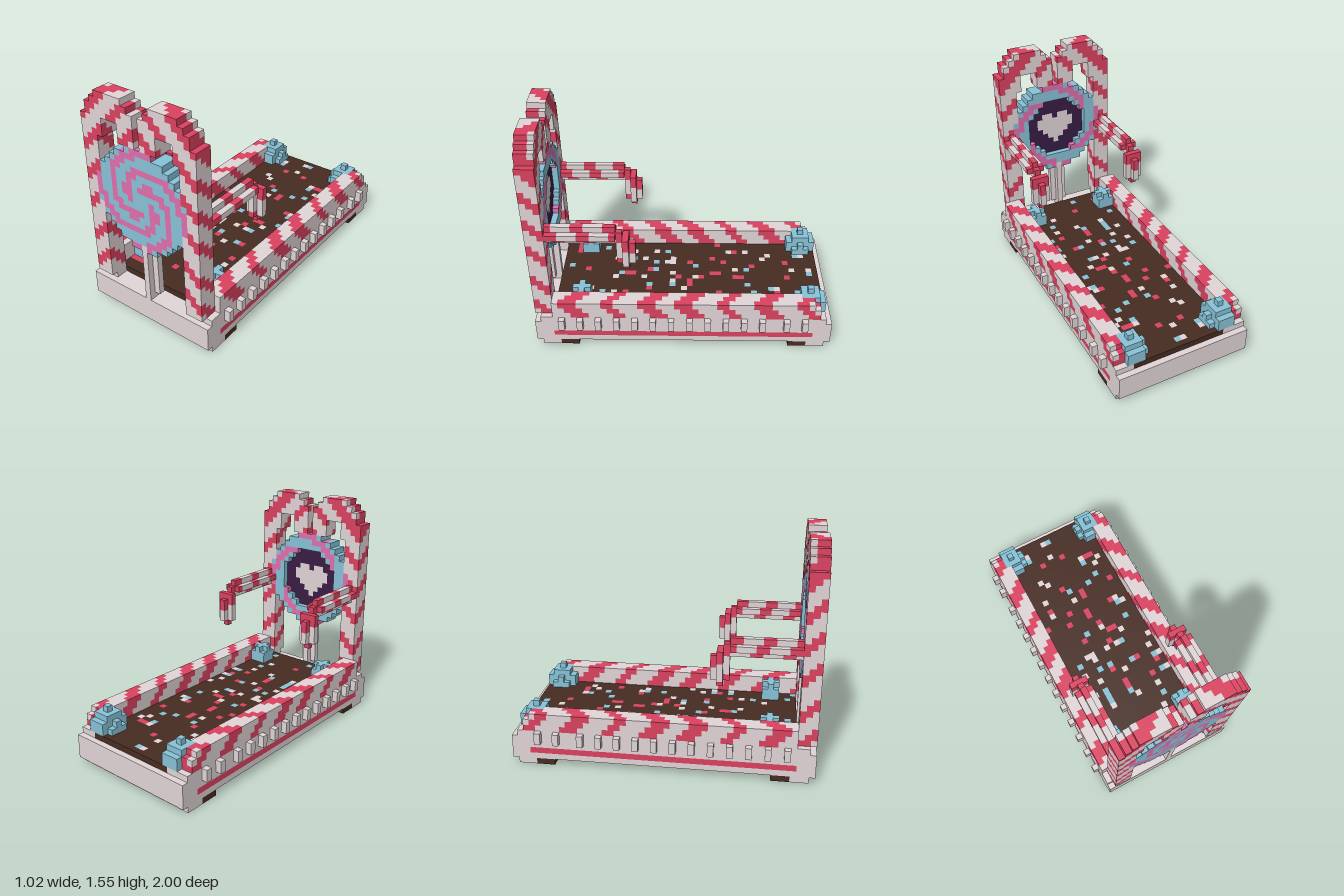
import * as THREE from 'three';

const V = 2 / 49; // edge of one block; x, z count from the centre, y from the ground

// Double-sided, because the base is an open shell underneath
const paint = (name, color) =>
  Object.assign(new THREE.MeshStandardMaterial({ color, side: THREE.DoubleSide }), { name });

export function createModel() {
  const mats = {
    cream: paint('cream', 0xe2d6d8),
    red: paint('candy red', 0xdc4260),
    blue: paint('sugar blue', 0x88c3d8),
    pink: paint('candy pink', 0xe070ae),
    brown: paint('chocolate', 0x472c22),
    purple: paint('dark purple', 0x3a1c46),
  };
  const grid = new Map(); // block position -> part and colour; later parts replace earlier ones
  const key = (x, y, z) => `${x},${y},${z}`;

  // Fill a range of blocks; color is a name or a rule that returns a name (or null to skip)
  function fill(part, [x0, x1], [y0, y1], [z0, z1], color) {
    for (let x = x0; x <= x1; x++)
      for (let y = y0; y <= y1; y++)
        for (let z = z0; z <= z1; z++) {
          const c = typeof color === 'function' ? color(x, y, z) : color;
          if (c) grid.set(key(x, y, z), { part, c, p: [x, y, z] });
        }
  }
  const mod = (a, n) => ((a % n) + n) % n;
  // Diagonal candy stripes, mirrored left to right
  const stripes = (period, width, shift) => (x, y, z) =>
    mod(y + Math.abs(x) - z + shift, period) < width ? 'red' : 'cream';
  const railStripes = stripes(6.4, 2.6, 1.3);
  const postStripes = stripes(5.3, 2.2, 7.5);
  const armStripes = (x, y, z) => (mod(z - y + 21, 5) < 2 ? 'red' : 'cream');

  let seed = 7;
  const random = () => {
    seed = (seed * 16807) % 2147483647;
    return seed / 2147483647;
  };

  // Base with a red line along each side, on two skids
  fill('base', [-11, 11], [1, 4], [-24, 24],
    (x, y, z) => (y === 2 && Math.abs(x) === 11 && Math.abs(z) <= 21 ? 'red' : 'cream'));
  fill('frontSkid', [-11, 11], [0, 0], [21, 23], 'cream');
  fill('backSkid', [-11, 11], [0, 0], [-23, -21], 'cream');

  // Chocolate floor with sprinkles
  fill('floor', [-8, 8], [5, 5], [-23, 21], () => {
    const r = random();
    return r < 0.04 ? 'cream' : r < 0.08 ? 'red' : r < 0.12 ? 'blue' : 'brown';
  });

  const pegs = [-20, -17];
  for (let z = -13; z <= 20; z += 3) pegs.push(z);

  for (const s of [1, -1]) {
    const side = s > 0 ? 'left' : 'right';
    const span = (a, b) => (s > 0 ? [a, b] : [-b, -a]);

    for (const z of [-20, 18]) fill(side + 'Feet', span(9, 11), [0, 0], [z, z + 2], 'brown');
    for (const z of pegs) fill(side + 'Pegs', span(12, 12), [4, 5], [z, z], 'cream');

    // Striped rail on a plain ledge
    fill(side + 'Rail', span(9, 11), [5, 5], [-23, 23], 'cream');
    fill(side + 'Rail', span(8, 8), [5, 5], [22, 23], 'cream');
    fill(side + 'Rail', span(9, 11), [6, 8], [-22, 21],
      (x, y, z) => (y === 8 && z === -22 ? null : railStripes(x, y, z)));

    // Candy cane post with its hooked top: lowest and highest block of each column
    const columns = {
      1: [31, 35], 2: [31, 36], 3: [31, 37], 4: [34, 37], 5: [34, 37],
      6: [34, 37], 7: [31, 37], 8: [6, 36], 9: [6, 35], 10: [6, 33],
    };
    for (const [x, rows] of Object.entries(columns))
      fill(side + 'CanePost', span(+x, +x), rows, [22, 24], postStripes);

    // Arm with a plus-shaped section, bent down at its end
    const arm = side + 'Arm';
    fill(arm, span(9, 9), [20, 22], [11, 21], armStripes);
    fill(arm, span(8, 10), [21, 21], [11, 21], armStripes);
    fill(arm, span(9, 9), [16, 21], [10, 10], armStripes);
    fill(arm, span(8, 10), [16, 20], [9, 9], armStripes);
    fill(arm, span(9, 9), [15, 15], [9, 9], 'red');
    fill(arm, span(9, 9), [16, 19], [8, 8], armStripes);

    // Gumdrops in the corners
    const drop = (name, cx, cz, rx, ry, rz) =>
      fill(name, span(5, 9), [6, 9], [cz - 3, cz + 3], (x, y, z) =>
        Math.hypot((Math.abs(x) - cx) / rx, (y - 6) / ry, (z - cz) / rz) <= 1 ? 'blue' : null);
    drop(side + 'BackGumdrop', 8, -21, 2.3, 3.3, 2.4);
    drop(side + 'FrontGumdrop', 7, 17, 1.8, 2.6, 1.9);
  }

  // Spiral lollipop with a hollow back
  const swirl = (x, y) => {
    const dx = x, dy = y - 22, r = Math.hypot(dx, dy);
    if (r > 8.45) return null;
    const turn = Math.atan2(dy, dx) / (2 * Math.PI);
    return mod((r - 8) / 3 + 4 * (turn - 0.25) + 0.25, 1) < 0.46 ? 'pink' : 'blue';
  };
  fill('lollipop', [-8, 8], [14, 30], [23, 24], swirl);
  fill('lollipop', [-8, 8], [14, 30], [22, 22],
    (x, y) => (Math.hypot(x, y - 22) > 5.5 ? swirl(x, y) : null));

  // Lollipop stick
  fill('lollipopStick', [-1, 1], [6, 13], [23, 23], 'cream');
  fill('lollipopStick', [0, 0], [5, 14], [22, 24], 'cream');

  // Heart on a dark disc behind the lollipop
  fill('backDisc', [-6, 6], [16, 28], [23, 23],
    (x, y) => (Math.hypot(x, y - 22) <= 5.5 ? 'purple' : null));
  const heart = ['...#...', '..###..', '.#####.', '#######', '#######', '.##.##.'];
  fill('heart', [-3, 3], [19, 24], [23, 23],
    (x, y) => (heart[y - 19][x + 3] === '#' ? 'cream' : null));

  // Gather the exposed block faces of each part by colour; the base stays open underneath
  const parts = {};
  for (const { part, c, p } of grid.values()) {
    const out = ((parts[part] ??= {})[c] ??= []);
    for (let d = 0; d < 3; d++)
      for (const s of [1, -1]) {
        const n = [...p];
        n[d] += s;
        const openBottom = d === 1 && s < 0 && p[1] <= 1;
        if (openBottom || grid.has(key(...n))) continue;
        const corners = [[-1, -1], [1, -1], [1, 1], [-1, 1]].map(([a, b]) => {
          const q = [...p];
          q[d] += s / 2;
          q[(d + 1) % 3] += a / 2;
          q[(d + 2) % 3] += b / 2;
          return [q[0] * V, (q[1] + 0.5) * V, q[2] * V];
        });
        if (s < 0) corners.reverse();
        for (const i of [0, 1, 2, 0, 2, 3]) out.push(...corners[i]);
      }
  }

  // One mesh per part, with a geometry group for each colour
  const model = new THREE.Group();
  model.name = 'candyBed';
  for (const [name, colors] of Object.entries(parts)) {
    const geometry = new THREE.BufferGeometry();
    const points = [];
    const materials = [];
    for (const [c, list] of Object.entries(colors)) {
      geometry.addGroup(points.length / 3, list.length / 3, materials.length);
      materials.push(mats[c]);
      for (const value of list) points.push(value);
    }
    geometry.setAttribute('position', new THREE.Float32BufferAttribute(points, 3));
    geometry.computeVertexNormals();
    const mesh = new THREE.Mesh(geometry, materials);
    mesh.name = name;
    model.add(mesh);
  }
  return model;
}
